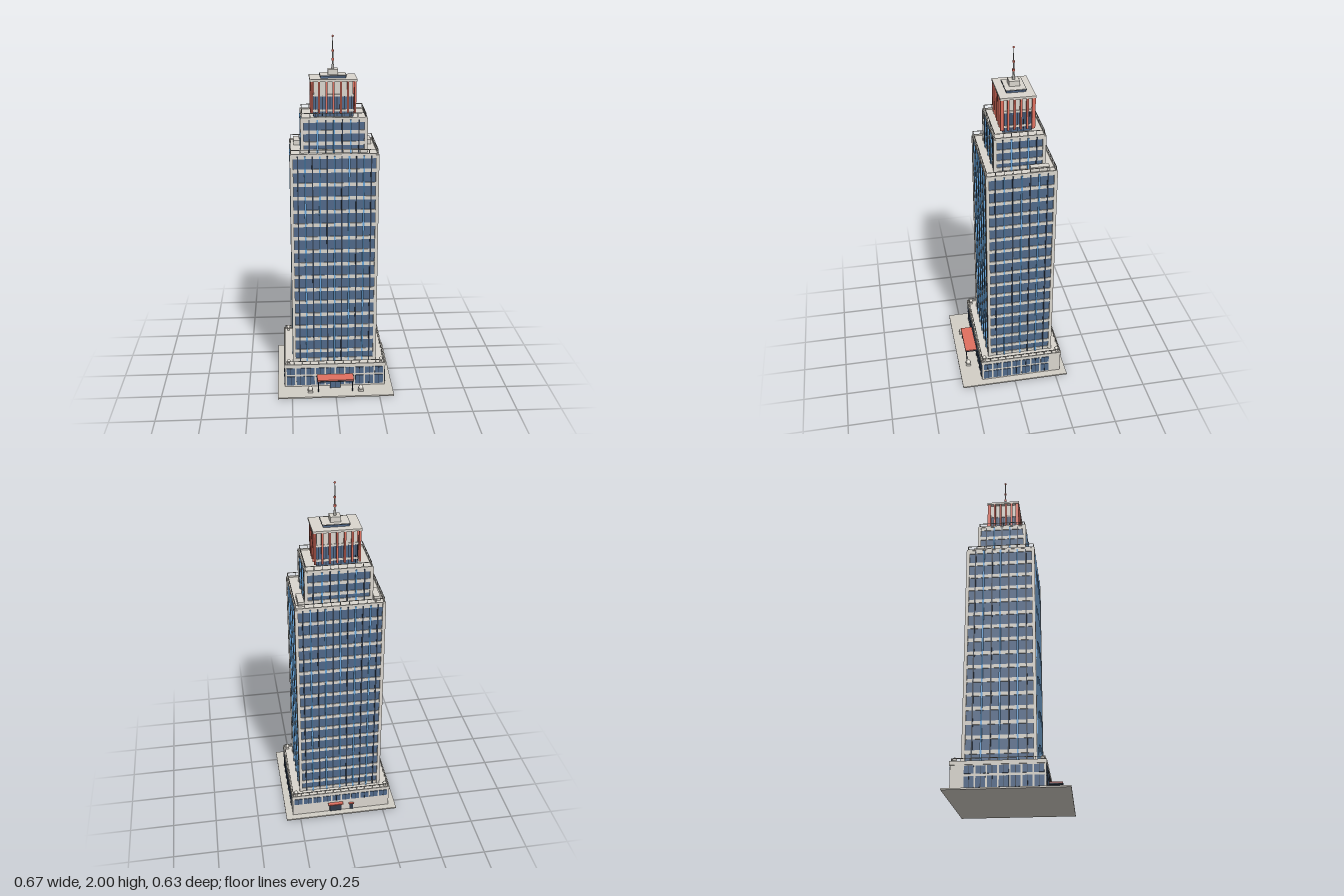
import * as THREE from 'three';

const material = (name, color) => {
  const m = new THREE.MeshStandardMaterial({ color });
  m.name = name;
  return m;
};

export function createModel() {
  const model = new THREE.Group();
  model.name = 'skyscraper';
  const stone = material('stone', 0xdad6ce);
  const paving = material('paving', 0xd2cec6);
  const glass = material('glass', 0x50698a);
  const accent = material('blueFin', 0x68a6dc);
  const dark = material('darkFrame', 0x2f3a4a);
  const metal = material('metal', 0xa9a7a2);
  const red = material('red', 0xe0705f);
  const ZC = -0.045; // centre line of the building in z

  const add = (parent, name, geometry, mat, x, y, z) => {
    const mesh = new THREE.Mesh(geometry, mat);
    mesh.name = name;
    mesh.position.set(x, y, z);
    parent.add(mesh);
    return mesh;
  };
  // Box given by its bottom height
  const box = (parent, name, mat, w, h, d, x, y, z) =>
    add(parent, name, new THREE.BoxGeometry(w, h, d), mat, x, y + h / 2, z);
  const group = (name, z = ZC) => {
    const g = new THREE.Group();
    g.name = name;
    g.position.z = z;
    model.add(g);
    return g;
  };

  // Vertical strips on all four faces, at given offsets along each face
  function strips(g, name, mat, hx, hz, xs, zs, y, h, w, d) {
    for (const s of [-1, 1]) {
      for (const x of xs) box(g, name, mat, w, h, d, x, y, s * hz);
      for (const z of zs) box(g, name, mat, d, h, w, s * hx, y, z);
    }
  }
  function corners(g, name, mat, hx, hz, y, h, w) {
    for (const sx of [-1, 1]) for (const sz of [-1, 1])
      box(g, name, mat, w, h, w, sx * hx, y, sz * hz);
  }
  // Low wall round a roof
  function parapet(g, hx, hz, y, h, t) {
    for (const s of [-1, 1]) {
      box(g, 'parapet', stone, hx * 2, h, t, 0, y, s * (hz - t / 2));
      box(g, 'parapet', stone, t, h, hz * 2, s * (hx - t / 2), y, 0);
    }
  }
  const spread = (half, n) => Array.from({ length: n }, (_, i) => -half + (2 * half * i) / (n - 1));
  // Thin posts and a handrail round a roof
  function railing(g, hx, hz, y, h, nx, nz) {
    strips(g, 'railPost', metal, hx, hz, spread(hx, nx), spread(hz, nz).slice(1, -1), y, h, 0.003, 0.003);
    for (const s of [-1, 1]) {
      box(g, 'handrail', metal, hx * 2, 0.003, 0.003, 0, y + h, s * hz);
      box(g, 'handrail', metal, 0.003, 0.003, hz * 2, s * hx, y + h, 0);
    }
  }
  // Glazed storeys with stone bands, corner piers, fins and mullions
  function tier(name, hx, hz, y0, y1, floors, finX, finZ, mulX, mulZ) {
    const g = group(name);
    const h = y1 - y0, step = h / floors;
    box(g, 'glassCore', glass, hx * 2 - 0.012, h - 0.01, hz * 2 - 0.012, 0, y0, 0);
    for (let i = 0; i <= floors; i++)
      box(g, 'floorBand', stone, hx * 2 - 0.004, 0.02, hz * 2 - 0.004, 0, y0 + i * step - (i ? 0.02 : 0), 0);
    corners(g, 'cornerPier', stone, hx - 0.007, hz - 0.007, y0, h, 0.018);
    strips(g, 'fin', accent, hx, hz, finX, finZ, y0, h - 0.005, 0.009, 0.008);
    strips(g, 'mullion', dark, hx - 0.003, hz - 0.003, mulX, mulZ, y0, h - 0.005, 0.007, 0.006);
    parapet(g, hx, hz, y1, 0.008, 0.006);
    return g;
  }

  // Plaza
  box(model, 'plaza', paving, 0.666, 0.008, 0.635, 0, 0, -0.0025);

  // Podium: two rows of windows on the front and sides, upper row only at the back
  const podium = group('podium');
  box(podium, 'podiumWalls', stone, 0.582, 0.138, 0.478, 0, 0.006, 0);
  box(podium, 'podiumCornice', stone, 0.59, 0.012, 0.486, 0, 0.132, 0);
  parapet(podium, 0.295, 0.243, 0.144, 0.008, 0.006);
  for (const [y, h, faces] of [[0.018, 0.056, [1]], [0.087, 0.04, [1, -1]]]) {
    for (const s of faces) for (let i = 0; i < 10; i++) {
      const x = -0.2565 + i * 0.057;
      box(podium, 'podiumWindow', glass, 0.048, h, 0.004, x, y, s * 0.24);
      box(podium, 'podiumMullion', dark, 0.003, h, 0.003, x, y, s * 0.2425);
    }
    for (const s of [-1, 1]) for (let i = 0; i < 7; i++) {
      const z = 0.204 - i * 0.058;
      box(podium, 'podiumWindow', glass, 0.004, h, 0.049, s * 0.292, y, z);
      box(podium, 'podiumMullion', dark, 0.003, h, 0.003, s * 0.2945, y, z);
    }
  }
  railing(podium, 0.285, 0.233, 0.144, 0.022, 13, 11);
  for (const x of [-0.268, 0.268]) for (const z of [-0.22, 0.22]) {
    box(podium, 'roofLampBase', stone, 0.014, 0.012, 0.014, x, 0.144, z);
    add(podium, 'roofLamp', new THREE.SphereGeometry(0.011, 16, 12), stone, x, 0.166, z);
  }

  // Main tower and upper tier
  const tower = tier('mainTower', 0.24, 0.19, 0.144, 1.385, 16,
    [-0.16, -0.08, 0, 0.08, 0.16], [-0.094, 0, 0.094],
    [-0.2, -0.12, -0.04, 0.04, 0.12, 0.2], [-0.141, -0.047, 0.047, 0.141]);
  railing(tower, 0.235, 0.185, 1.39, 0.022, 11, 9);
  for (const x of [-0.202, 0.202])
    box(tower, 'roofUnit', stone, 0.034, 0.026, 0.102, x, 1.385, -0.103);
  const upper = tier('upperTier', 0.18, 0.137, 1.385, 1.572, 3,
    [-0.09, 0, 0.09], [-0.045, 0.045], [-0.135, -0.045, 0.045, 0.135], [-0.09, 0, 0.09]);
  railing(upper, 0.172, 0.13, 1.578, 0.022, 9, 7);

  // Crown behind deep red fins
  const crown = group('crown');
  box(crown, 'crownGlass', glass, 0.214, 0.12, 0.152, 0, 1.572, 0);
  box(crown, 'crownWall', stone, 0.212, 0.077, 0.15, 0, 1.69, 0);
  for (const y of [1.6, 1.682]) box(crown, 'crownBand', stone, 0.22, 0.012, 0.158, 0, y, 0);
  strips(crown, 'crownFin', red, 0.116, 0.083, spread(0.117, 7), spread(0.084, 6).slice(1, -1), 1.59, 0.175, 0.01, 0.018);
  strips(crown, 'crownMullion', dark, 0.108, 0.077, spread(0.0975, 6), spread(0.067, 5), 1.575, 0.115, 0.005, 0.004);
  box(crown, 'crownRoof', stone, 0.256, 0.012, 0.188, 0, 1.764, 0);
  box(crown, 'penthouseGlass', glass, 0.136, 0.014, 0.102, 0, 1.774, 0);
  box(crown, 'penthouseEdge', dark, 0.146, 0.004, 0.11, 0, 1.786, 0);
  box(crown, 'penthouseRoof', stone, 0.142, 0.004, 0.106, 0, 1.788, 0);
  box(crown, 'mastBase', stone, 0.056, 0.03, 0.056, 0, 1.79, 0);

  // Antenna, tapering in steps
  const rod = (name, mat, r0, r1, y0, y1) =>
    add(crown, name, new THREE.CylinderGeometry(r1, r0, y1 - y0, 12), mat, 0, (y0 + y1) / 2, 0);
  rod('antennaFoot', metal, 0.008, 0.006, 1.82, 1.845);
  rod('antennaLower', metal, 0.005, 0.004, 1.84, 1.92);
  rod('antennaBand', red, 0.0075, 0.0075, 1.865, 1.877);
  rod('antennaBand', red, 0.006, 0.006, 1.912, 1.922);
  rod('antennaUpper', metal, 0.003, 0.002, 1.92, 1.99);
  add(crown, 'beacon', new THREE.SphereGeometry(0.006, 12, 8), red, 0, 1.994, 0);

  // Entrance with canopy
  const entrance = group('entrance', 0);
  box(entrance, 'vestibule', dark, 0.06, 0.056, 0.024, 0, 0.006, 0.208);
  for (const x of [-0.0145, 0.0145]) box(entrance, 'door', glass, 0.025, 0.048, 0.003, x, 0.009, 0.2205);
  box(entrance, 'canopy', red, 0.21, 0.006, 0.068, 0, 0.079, 0.232);
  box(entrance, 'canopyFascia', dark, 0.212, 0.007, 0.07, 0, 0.073, 0.232);
  for (const x of [-0.098, 0.098])
    add(entrance, 'canopyPost', new THREE.CylinderGeometry(0.003, 0.003, 0.068, 10), dark, x, 0.041, 0.26);
  for (const x of [-0.146, 0.146]) {
    box(entrance, 'planter', stone, 0.03, 0.012, 0.03, x, 0.008, 0.257);
    add(entrance, 'planterBall', new THREE.SphereGeometry(0.014, 16, 12), stone, x, 0.029, 0.257);
  }

  // Service doors at the back
  const service = group('serviceEntrance', 0);
  box(service, 'loadingDoor', dark, 0.07, 0.052, 0.006, 0.034, 0.008, -0.285);
  box(service, 'loadingCanopy', red, 0.088, 0.007, 0.022, 0.034, 0.064, -0.294);
  box(service, 'sideDoor', dark, 0.022, 0.04, 0.006, -0.062, 0.008, -0.285);
  box(service, 'sideDoorCanopy', red, 0.03, 0.006, 0.012, -0.062, 0.051, -0.289);

  return model;
}
